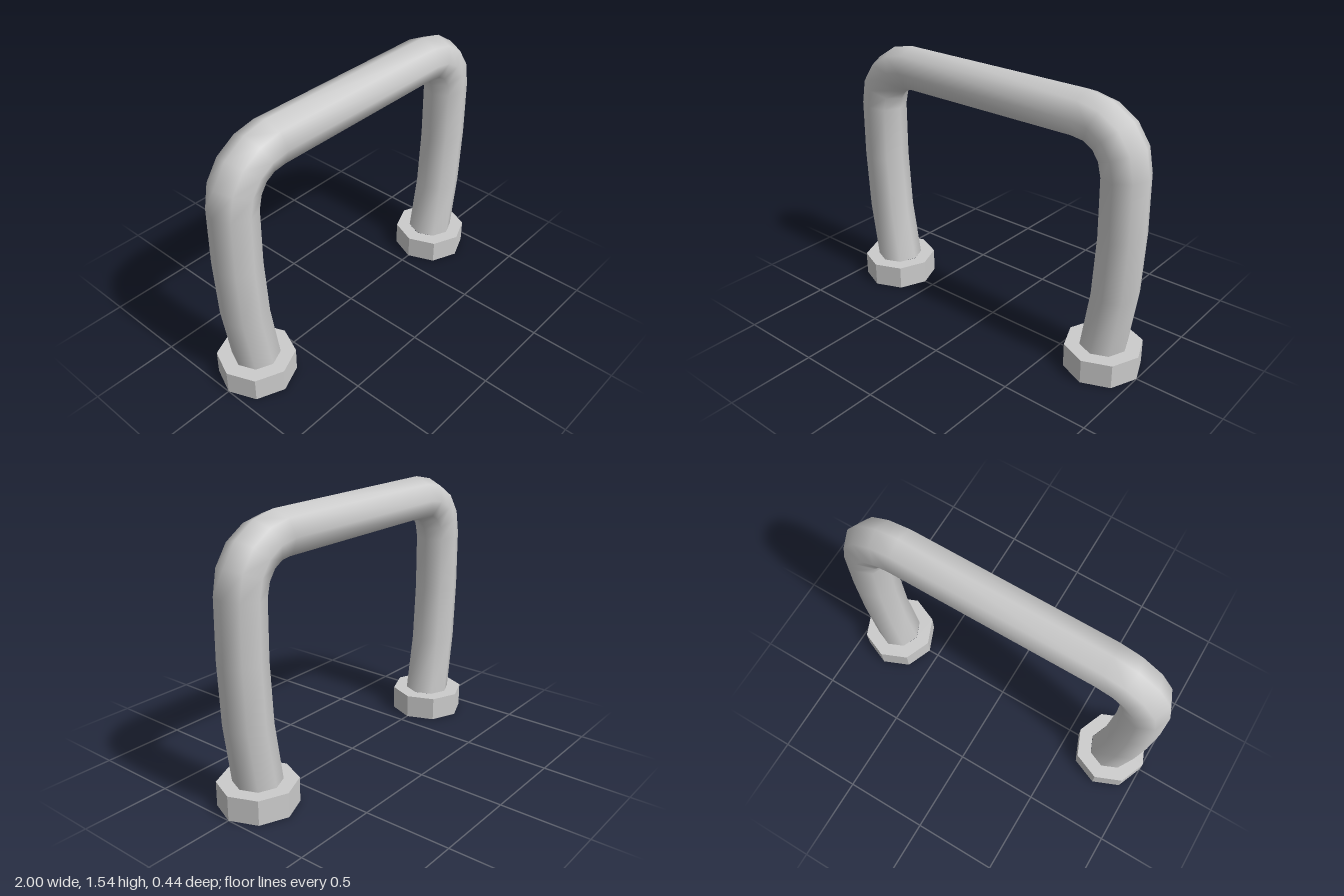
import * as THREE from 'three';

const SIDES = 8;

// Half of the bent bar, foot to top: [outerX, outerY, innerX, innerY]
const HALF = [
  [0.915, 0.14, 0.65, 0.14],
  [0.965, 0.48, 0.70, 0.48],
  [0.98, 0.83, 0.72, 0.82],
  [0.975, 1.16, 0.717, 1.14],
  [0.947, 1.31, 0.70, 1.205],
  [0.865, 1.43, 0.67, 1.25],
  [0.738, 1.51, 0.63, 1.273],
  [0.60, 1.54, 0.567, 1.28],
];

// Octagonal tube swept through the sections, mirrored for the other leg
function barGeometry() {
  const mirrored = HALF.map(([a, b, c, d]) => [-a, b, -c, d]).reverse();
  const sections = [...HALF, ...mirrored];
  const positions = [];
  const index = [];
  sections.forEach(([ox, oy, ix, iy], s) => {
    const depth = oy < 0.2 ? 0.135 : 0.13;
    for (let k = 0; k < SIDES; k++) {
      const a = (k / SIDES) * Math.PI * 2;
      const t = (1 + Math.cos(a)) / 2;
      positions.push(ix + (ox - ix) * t, iy + (oy - iy) * t, depth * Math.sin(a));
      if (s < sections.length - 1) {
        const i = s * SIDES + k;
        const j = s * SIDES + ((k + 1) % SIDES);
        index.push(i, i + SIDES, j, j, i + SIDES, j + SIDES);
      }
    }
  });
  const geometry = new THREE.BufferGeometry();
  geometry.setAttribute('position', new THREE.Float32BufferAttribute(positions, 3));
  geometry.setIndex(index);
  geometry.computeVertexNormals();
  return geometry;
}

export function createModel() {
  const group = new THREE.Group();
  group.name = 'handle';

  const smooth = new THREE.MeshStandardMaterial({ color: 0xcccccc, side: THREE.DoubleSide });
  const flat = new THREE.MeshStandardMaterial({ color: 0xcccccc, side: THREE.DoubleSide, flatShading: true });

  // Bent grab bar, open at both feet
  const bar = new THREE.Mesh(barGeometry(), smooth);
  bar.name = 'bar';
  group.add(bar);

  // Hollow octagonal collars: side wall and top ring, open below
  const profile = [[0.218, 0], [0.218, 0.14], [0.133, 0.14]].map(([x, y]) => new THREE.Vector2(x, y));
  const collarGeometry = new THREE.LatheGeometry(profile, SIDES);
  for (const side of [1, -1]) {
    const collar = new THREE.Mesh(collarGeometry, flat);
    collar.name = side > 0 ? 'leftCollar' : 'rightCollar';
    collar.position.x = side * 0.782;
    group.add(collar);
  }
  return group;
}
